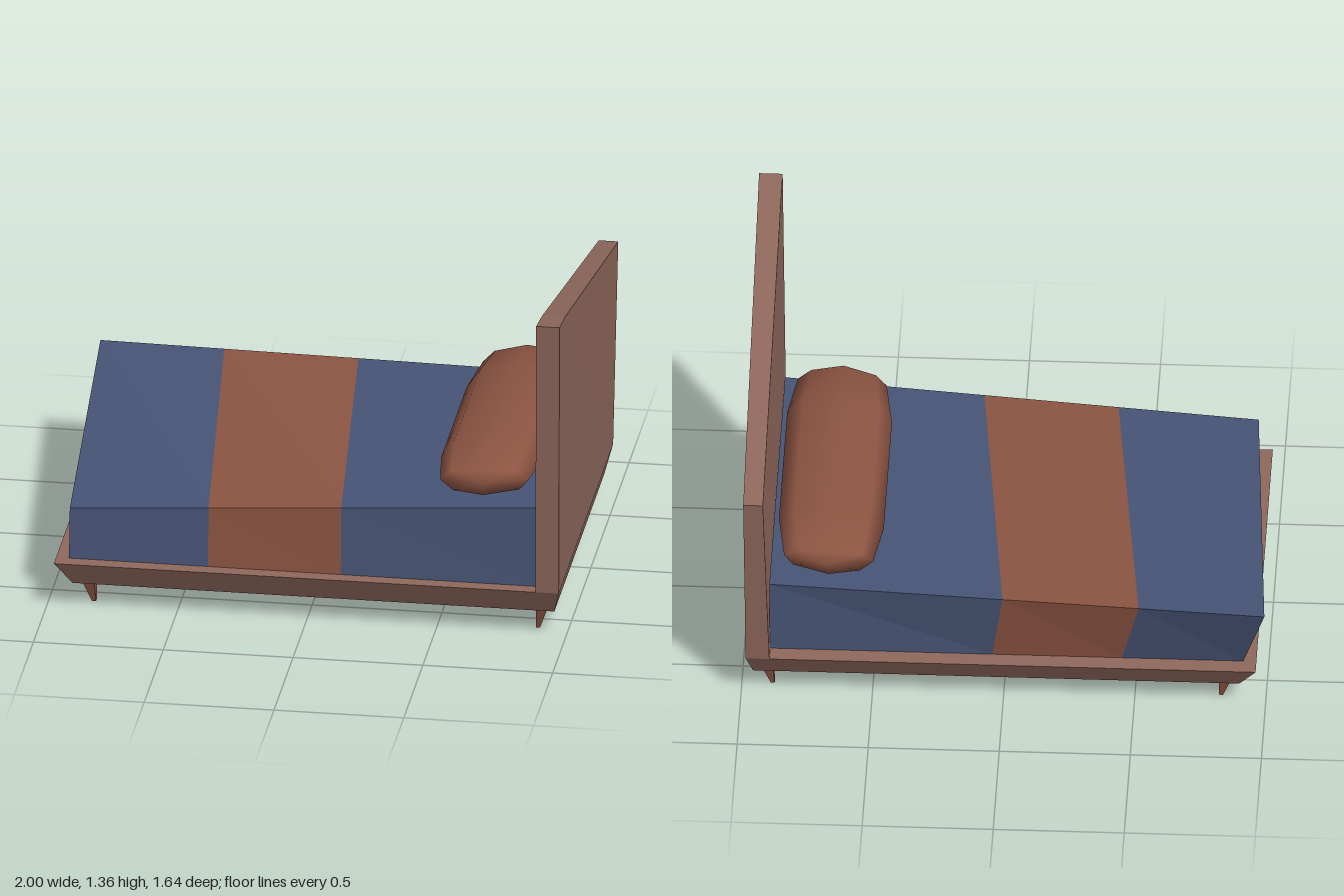
import * as THREE from 'three';
import { mergeVertices } from 'three/addons/utils/BufferGeometryUtils.js';

const WOOD = 0x8f685c, BLUE = 0x475476, RUST = 0x8c5442;

// Skin a list of rings (counterclockwise seen from the last ring), with optional end caps.
function loft(rings, startCap = true, endCap = true) {
  const pos = [];
  const tri = (a, b, c) => pos.push(...a, ...b, ...c);
  const n = rings[0].length;
  for (let i = 0; i + 1 < rings.length; i++) {
    for (let j = 0; j < n; j++) {
      const k = (j + 1) % n;
      tri(rings[i][j], rings[i][k], rings[i + 1][k]);
      tri(rings[i][j], rings[i + 1][k], rings[i + 1][j]);
    }
  }
  const first = rings[0], last = rings[rings.length - 1];
  for (let j = 1; j + 1 < n; j++) {
    if (startCap) tri(first[0], first[j + 1], first[j]);
    if (endCap) tri(last[0], last[j], last[j + 1]);
  }
  const geometry = new THREE.BufferGeometry();
  geometry.setAttribute('position', new THREE.Float32BufferAttribute(pos, 3));
  geometry.computeVertexNormals();
  return geometry;
}

// Horizontal rectangle at height y, as a ring for lofting upward.
const rect = (y, x0, x1, z0, z1) => [[x0, y, z1], [x1, y, z1], [x1, y, z0], [x0, y, z0]];

function createModel() {
  const bed = new THREE.Group();
  bed.name = 'bed';
  const add = (name, geometry, color, parent = bed) => {
    const mesh = new THREE.Mesh(geometry, new THREE.MeshStandardMaterial({ color }));
    mesh.name = name;
    parent.add(mesh);
    return mesh;
  };

  // Base slab flaring outward toward the top
  add('bedFrame', loft([
    rect(0.1, -0.9, 0.955, -0.66, 0.65),
    rect(0.2, -0.965, 0.98, -0.72, 0.705),
  ]), WOOD);

  // Lopsided headboard: outline as [z, y, inner x, outer x]
  const outline = [
    [-0.72, 0.2, 0.89, 0.98],
    [-0.82, 1.0, 0.91, 0.985],
    [0.66, 1.335, 0.91, 0.998],
    [0.82, 1.36, 0.91, 1.0],
    [0.705, 0.2, 0.89, 0.98],
  ];
  add('headboard', loft([
    outline.map(([z, y, inner]) => [inner, y, z]),
    outline.map(([z, y, , outer]) => [outer, y, z]),
  ]), WOOD);

  // Crooked mattress: four long edges, each divided by the blanket stripe
  const mattress = new THREE.Group();
  mattress.name = 'mattress';
  bed.add(mattress);
  const edges = [
    { from: [-0.915, 0.2, -0.65], to: [0.893, 0.2, -0.65], stops: [0, 0.256, 0.53, 1] },
    { from: [-1.0, 0.49, -0.755], to: [0.893, 0.51, -0.66], stops: [0, 0.254, 0.529, 1] },
    { from: [-0.915, 0.4, 0.625], to: [0.893, 0.525, 0.645], stops: [0, 0.296, 0.579, 1] },
    { from: [-0.915, 0.2, 0.645], to: [0.893, 0.2, 0.65], stops: [0, 0.296, 0.579, 1] },
  ];
  const section = (i) => edges.map(({ from, to, stops }) =>
    from.map((v, axis) => v + (to[axis] - v) * stops[i]));
  ['mattressFoot', 'blanketStripe', 'mattressHead'].forEach((name, i) => {
    add(name, loft([section(i), section(i + 1)], i === 0, i === 2), i === 1 ? RUST : BLUE, mattress);
  });

  // Soft pillow: eight-sided profile swept along z, drawn in at bulging ends
  const profile = [
    [0.2, 0.013], [0.14, 0.073], [-0.005, 0.085], [-0.15, 0.048],
    [-0.2, -0.022], [-0.14, -0.082], [0.0, -0.085], [0.16, -0.052],
  ];
  const ring = (z, sx, sy, bulge) => profile.map(([x, y]) =>
    [0.67 + x * sx, 0.587 + y * sy, -0.02 + z + bulge * (1 - Math.abs(x) / 0.2)]);
  const pillow = loft([
    ring(-0.61, 0, 0, 0), ring(-0.563, 0.85, 0.6, -0.035), ring(-0.34, 1, 1, 0),
    ring(0.34, 1, 1, 0), ring(0.563, 0.85, 0.6, 0.035), ring(0.61, 0, 0, 0),
  ], false, false);
  pillow.deleteAttribute('normal');
  const softPillow = mergeVertices(pillow);
  softPillow.computeVertexNormals();
  add('pillow', softPillow, RUST);

  // Four short legs tapering inward to the floor
  const legs = new THREE.Group();
  legs.name = 'legs';
  bed.add(legs);
  const legEnds = [
    { name: 'foot', bottom: [-0.835, -0.82], top: [-0.87, -0.822] },
    { name: 'head', bottom: [0.875, 0.89], top: [0.88, 0.925] },
  ];
  const legSides = [
    { name: 'FrontLeg', bottom: [0.56, 0.585], top: [0.555, 0.62] },
    { name: 'BackLeg', bottom: [-0.6, -0.575], top: [-0.63, -0.57] },
  ];
  for (const end of legEnds) {
    for (const side of legSides) {
      add(end.name + side.name, loft([
        rect(0, ...end.bottom, ...side.bottom),
        rect(0.1, ...end.top, ...side.top),
      ]), RUST, legs);
    }
  }
  return bed;
}

export { createModel };
